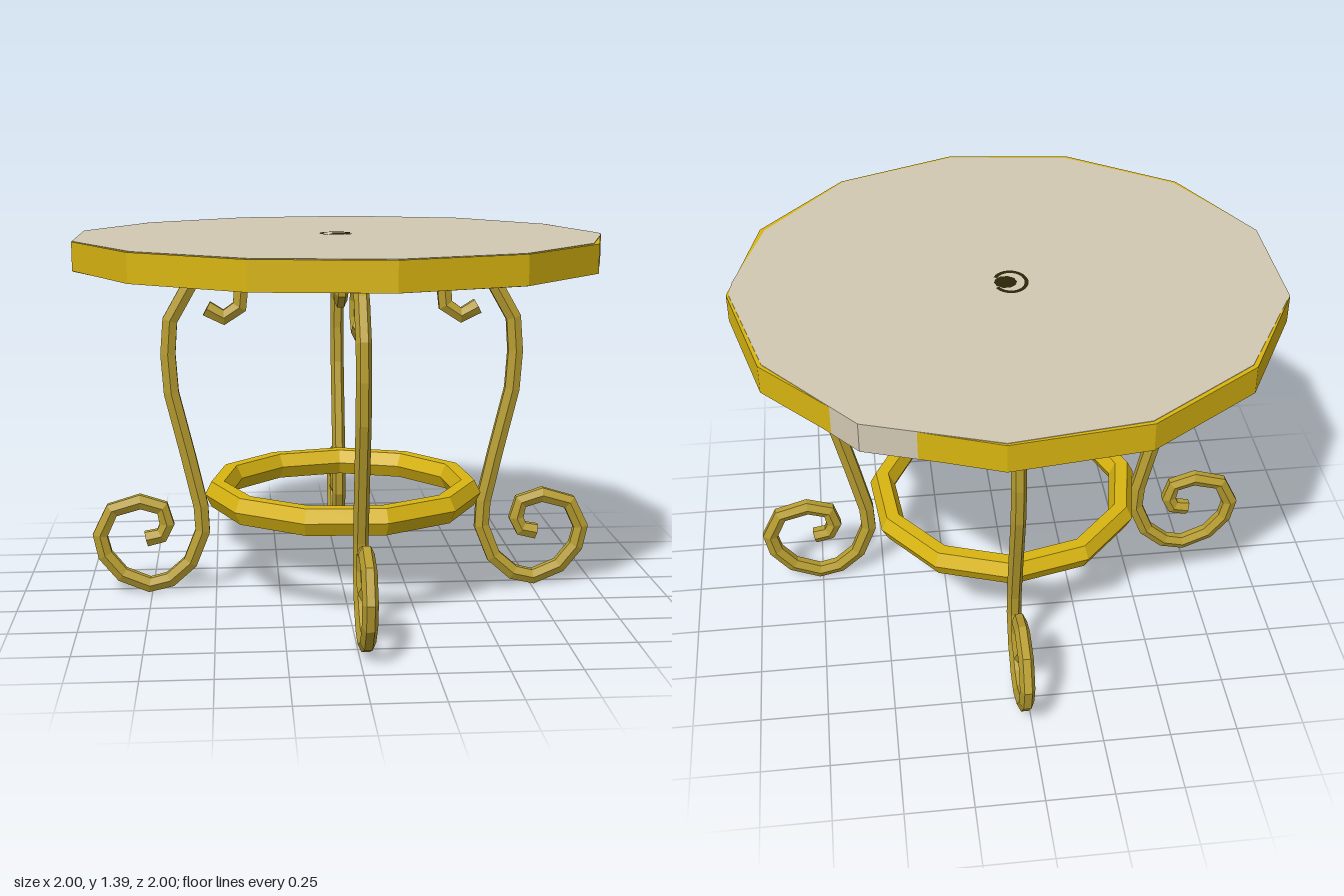
import * as THREE from 'three';

const mat = (name, color) => {
  const m = new THREE.MeshStandardMaterial({ color, flatShading: true });
  m.name = name;
  return m;
};

// Corner k of the 13-sided top; fractions lie along the edge to the next corner
function rimPoint(k, factor = 1) {
  const corner = (i) => {
    const a = (i / 13) * Math.PI * 2;
    return new THREE.Vector2(Math.cos(a) * 1.0147 - 0.0147, Math.sin(a) * 1.005);
  };
  const i = Math.floor(k);
  return corner(i).lerp(corner(i + 1), k - i).multiplyScalar(factor);
}

// Upright slab from an outline in x and z
function slab(points, bottom, top) {
  const g = new THREE.ExtrudeGeometry(new THREE.Shape(points), { depth: top - bottom, bevelEnabled: false });
  g.rotateX(Math.PI / 2);
  g.translate(0, top, 0);
  return g;
}

// Six-sided bar swept along a path in the xy plane, with closed ends
function sweep(path, ri, rz) {
  const pts = path.map(([x, y]) => new THREE.Vector2(x, y));
  const pos = [], index = [], n = pts.length;
  pts.forEach((p, i) => {
    const t = pts[Math.min(i + 1, n - 1)].clone().sub(pts[Math.max(i - 1, 0)]).normalize();
    for (let j = 0; j < 6; j++) {
      const a = ((j + 0.5) / 6) * Math.PI * 2;
      const d = Math.cos(a) * ri;
      pos.push(p.x - t.y * d, p.y + t.x * d, Math.sin(a) * rz);
      if (i < n - 1) {
        const A = i * 6 + j, B = i * 6 + (j + 1) % 6;
        index.push(A, B, B + 6, A, B + 6, A + 6);
      }
    }
  });
  const e = (n - 1) * 6;
  for (let j = 1; j < 5; j++) index.push(0, j + 1, j, e, e + j, e + j + 1);
  const g = new THREE.BufferGeometry();
  g.setAttribute('position', new THREE.Float32BufferAttribute(pos, 3));
  g.setIndex(index);
  g.computeVertexNormals();
  return g;
}

export function createModel() {
  const gold = mat('bright gold', 0xd9b511);
  const legGold = mat('antique gold', 0xb89e30);
  const stone = mat('beige stone', 0xd3c9b3);
  const dark = mat('dark olive', 0x2a2408);
  const model = new THREE.Group();
  const add = (name, geometry, material, parent = model) => {
    const m = new THREE.Mesh(geometry, material);
    m.name = name;
    parent.add(m);
    return m;
  };

  // Gold rim, filled by a slightly irregular stone slab
  const rim = Array.from({ length: 13 }, (_, k) => rimPoint(k));
  add('topRim', slab(rim, 1.292, 1.398), gold);
  const stoneOutline = [
    [0, 0.991], [0.18, 1.002], [1, 0.98], [2, 0.99], [3, 0.986], [4, 0.982], [5, 0.985], [6, 0.998],
    [7, 0.998], [8, 0.983], [9, 0.985], [10, 0.991], [11, 1.006], [12, 0.985],
  ].map(([k, f]) => rimPoint(k, f));
  add('stoneTop', slab(stoneOutline, 1.29, 1.4), stone);

  // Small open curl and dot at the centre of both faces
  const curl = new THREE.Group();
  curl.name = 'centreOrnament';
  model.add(curl);
  [[1.401, -1], [1.289, 1]].forEach(([y, side]) => {
    const ring = new THREE.RingGeometry(0.054, 0.069, 20, 1, 0.5, Math.PI * 2 - 1.0);
    ring.scale(0.95, 1.15, 1);
    const dot = new THREE.CircleGeometry(0.042, 10);
    dot.translate(0.018, 0, 0);
    for (const g of [ring, dot]) {
      g.rotateX(side * Math.PI / 2);
      g.translate(-0.02, y, -0.03);
    }
    add('centreCurl', ring, dark, curl);
    add('centreDot', dot, dark, curl);
  });

  // Scrolled legs: small curl on top, large curl at the foot
  const legGeometry = sweep([
    [0.52, 1.125], [0.455, 1.09], [0.395, 1.13], [0.388, 1.2], [0.43, 1.255], [0.5, 1.267],
    [0.58, 1.22], [0.66, 1.08], [0.67, 0.95], [0.66, 0.8], [0.6, 0.55], [0.555, 0.35],
    [0.55, 0.25], [0.6, 0.125], [0.68, 0.055], [0.76, 0.036], [0.865, 0.08], [0.93, 0.16],
    [0.948, 0.24], [0.9, 0.34], [0.79, 0.372], [0.705, 0.345], [0.688, 0.28], [0.71, 0.235], [0.77, 0.222],
  ], 0.033, 0.028);
  ['leftLeg', 'backLeg', 'rightLeg', 'frontLeg'].forEach((name, k) => {
    const leg = add(name, legGeometry, legGold);
    leg.rotation.y = k * Math.PI / 2;
    if (k % 2) leg.position.set(0.025, 0, 0.015);
    else leg.position.z = 0.035;
  });

  // Stretcher ring with a hexagonal section
  const section = [];
  for (let j = 0; j <= 6; j++) {
    const a = (j / 6) * Math.PI * 2;
    section.push(new THREE.Vector2(0.49 + Math.cos(a) * 0.05, Math.sin(a) * 0.058));
  }
  const stretcher = add('stretcherRing', new THREE.LatheGeometry(section, 11, 0.24), gold);
  stretcher.position.set(0, 0.405, 0.02);

  return model;
}
